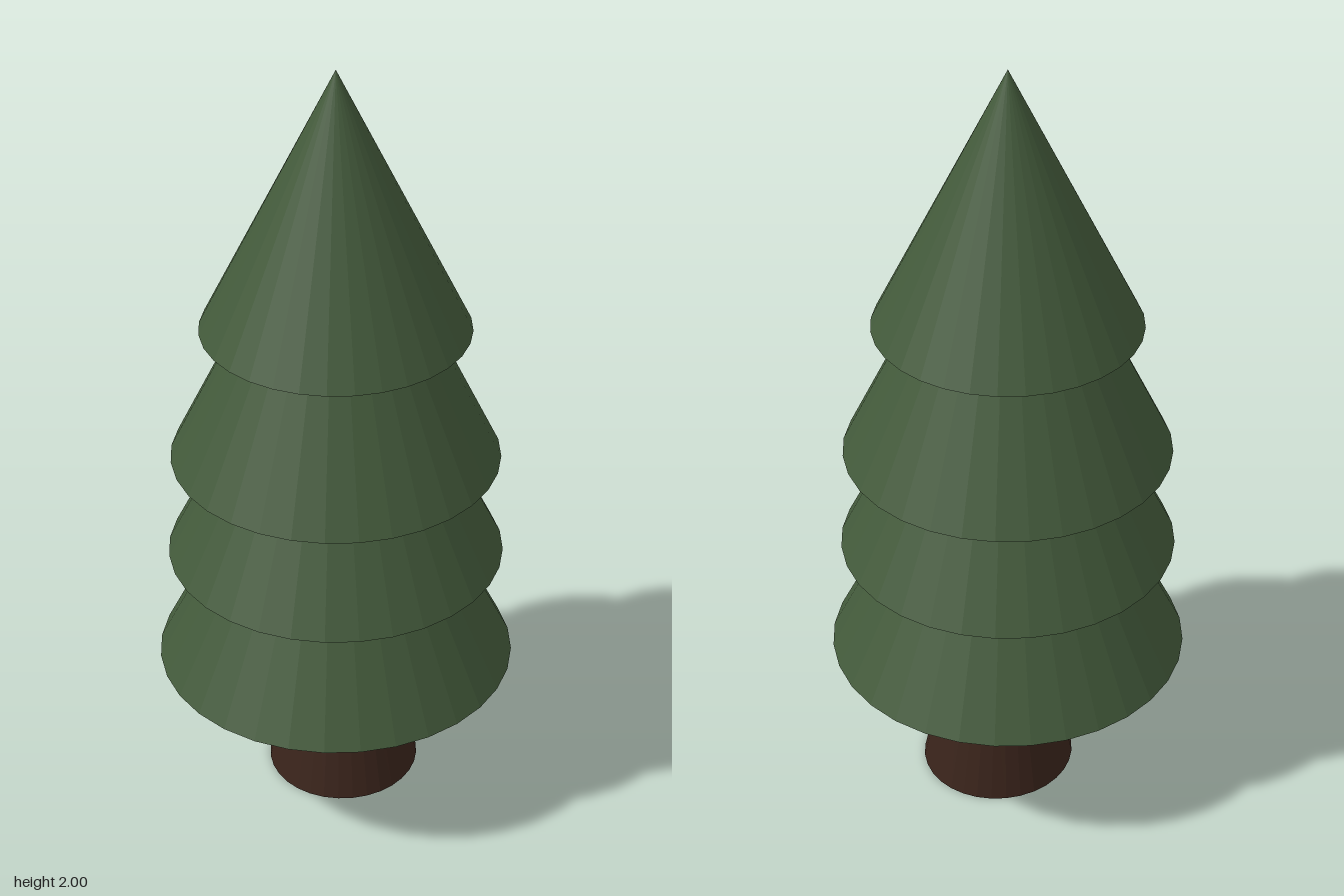
import * as THREE from 'three';

const SIDES = 32;

export function createModel() {
  const tree = new THREE.Group();
  tree.name = 'pineTree';

  const needles = new THREE.MeshStandardMaterial({ color: 0x435a3b, flatShading: true });
  const bark = new THREE.MeshStandardMaterial({ color: 0x3a241b, flatShading: true });

  // Foliage: four stacked closed cones, [base height, tip height, radius]
  const tiers = [
    [0.386, 1.3, 0.46],
    [0.7, 1.55, 0.427],
    [0.979, 1.82, 0.413],
    [1.334, 2.0, 0.333],
  ];
  tiers.forEach(([base, tip, radius], i) => {
    const cone = new THREE.Mesh(new THREE.ConeGeometry(radius, tip - base, SIDES), needles);
    cone.name = `foliageTier${i + 1}`;
    cone.position.y = (base + tip) / 2;
    tree.add(cone);
  });

  // Trunk: rings that flare at the foot and drift slightly off centre,
  // [height, centre x, centre z, radius x, radius z]
  const rings = [
    [0, 0.013, -0.032, 0.198, 0.206],
    [0.28, 0.008, -0.038, 0.14, 0.142],
    [0.5, 0.033, -0.038, 0.155, 0.158],
  ];
  const profile = [
    new THREE.Vector2(0, 0),
    ...rings.map((_, i) => new THREE.Vector2(1, i)),
    new THREE.Vector2(0, rings.length - 1),
  ];
  const trunkGeometry = new THREE.LatheGeometry(profile, SIDES);
  const p = trunkGeometry.attributes.position;
  for (let i = 0; i < p.count; i++) {
    const [y, cx, cz, rx, rz] = rings[Math.round(p.getY(i))];
    p.setXYZ(i, cx + p.getX(i) * rx, y, cz + p.getZ(i) * rz);
  }
  trunkGeometry.computeVertexNormals();
  const trunk = new THREE.Mesh(trunkGeometry, bark);
  trunk.name = 'trunk';
  tree.add(trunk);

  return tree;
}
